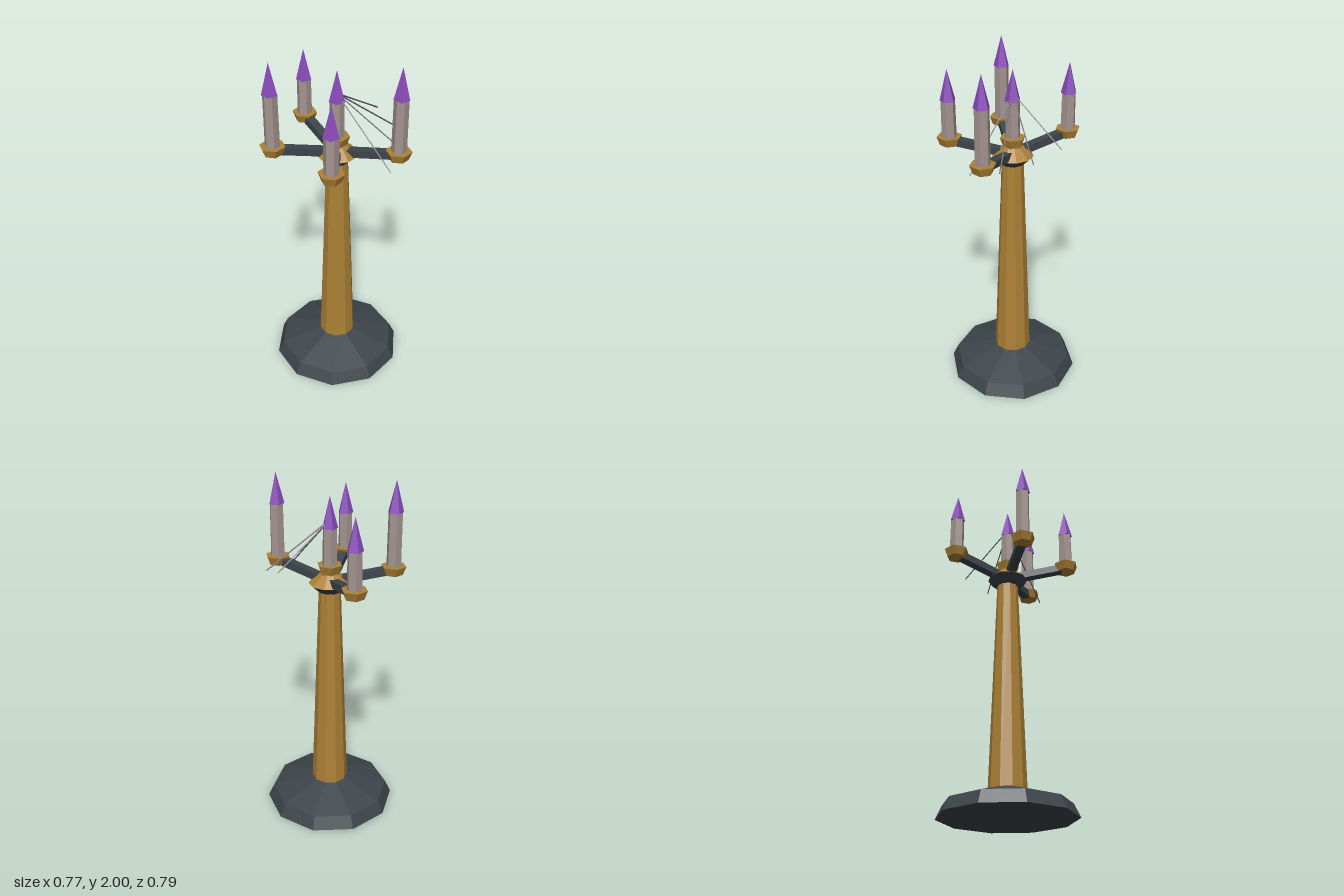
import * as THREE from 'three';

const material = (name, color) => {
  const m = new THREE.MeshStandardMaterial({ color, flatShading: true });
  m.name = name;
  return m;
};

export function createModel() {
  const model = new THREE.Group();
  model.name = 'candelabrum';
  const iron = material('dark iron', 0x3d454b);
  const gold = material('aged gold', 0xad8236);
  const wax = material('grey wax', 0xa3948f);
  const purple = material('purple flame', 0x8a4bbb);
  const thread = material('dusty thread', 0x665b68);

  // Faceted frustum standing between two heights, with a corner on +x
  function frustum(name, mat, sides, r0, y0, r1, y1, parent = model) {
    const geo = new THREE.CylinderGeometry(r1, r0, y1 - y0, sides, 1, false, Math.PI / 2);
    const mesh = new THREE.Mesh(geo, mat);
    mesh.position.y = (y0 + y1) / 2;
    mesh.name = name;
    parent.add(mesh);
    return mesh;
  }

  // Foot, column and collar
  frustum('footRim', iron, 10, 0.385, 0, 0.35, 0.075);
  frustum('footSlope', iron, 10, 0.35, 0.075, 0.107, 0.15);
  frustum('column', gold, 10, 0.107, 0.15, 0.062, 1.39);
  frustum('collarUnderside', iron, 10, 0.065, 1.385, 0.117, 1.432);
  frustum('collarTop', gold, 10, 0.117, 1.432, 0.045, 1.495);

  // Cup, candle and flame
  function candle(name, x, z, cupBottom, cupTop, flameBase) {
    const g = new THREE.Group();
    g.name = name;
    g.position.set(x, 0, z);
    frustum('cup', gold, 6, 0.054, cupBottom, 0.072, cupTop, g);
    frustum('candleStick', wax, 6, 0.042, cupTop, 0.04, flameBase, g);
    frustum('flame', purple, 5, 0.045, flameBase, 0, flameBase + 0.175, g);
    model.add(g);
  }
  candle('centreCandle', 0, 0, 1.488, 1.54, 1.745);

  // Four arms on a five-part layout, the +x place left empty
  const flameBases = [1.825, 1.73, 1.825, 1.73];
  flameBases.forEach((flameBase, i) => {
    const a = ((i + 1) * 72 * Math.PI) / 180;
    const dir = new THREE.Vector3(Math.cos(a), 0, Math.sin(a));
    const start = dir.clone().multiplyScalar(0.03).setY(1.445);
    const end = dir.clone().multiplyScalar(0.33).setY(1.499);
    const arm = new THREE.Mesh(new THREE.BoxGeometry(0.05, 0.042, start.distanceTo(end)), iron);
    arm.name = 'arm';
    arm.position.lerpVectors(start, end, 0.5);
    arm.lookAt(end);
    model.add(arm);
    candle('armCandle', dir.x * 0.352, dir.z * 0.352, 1.477, 1.525, flameBase);
  });

  // Thin threads fanning down from the centre flame
  for (let i = 0; i < 4; i++) {
    const a = i * 0.5;
    const start = new THREE.Vector3(0, 1.79, 0);
    const end = new THREE.Vector3(Math.cos(a) * 0.35, 1.57 - i * 0.045, Math.sin(a) * 0.35);
    const path = new THREE.LineCurve3(start, end);
    const strand = new THREE.Mesh(new THREE.TubeGeometry(path, 1, 0.004, 4), thread);
    strand.name = 'thread';
    model.add(strand);
  }
  return model;
}
